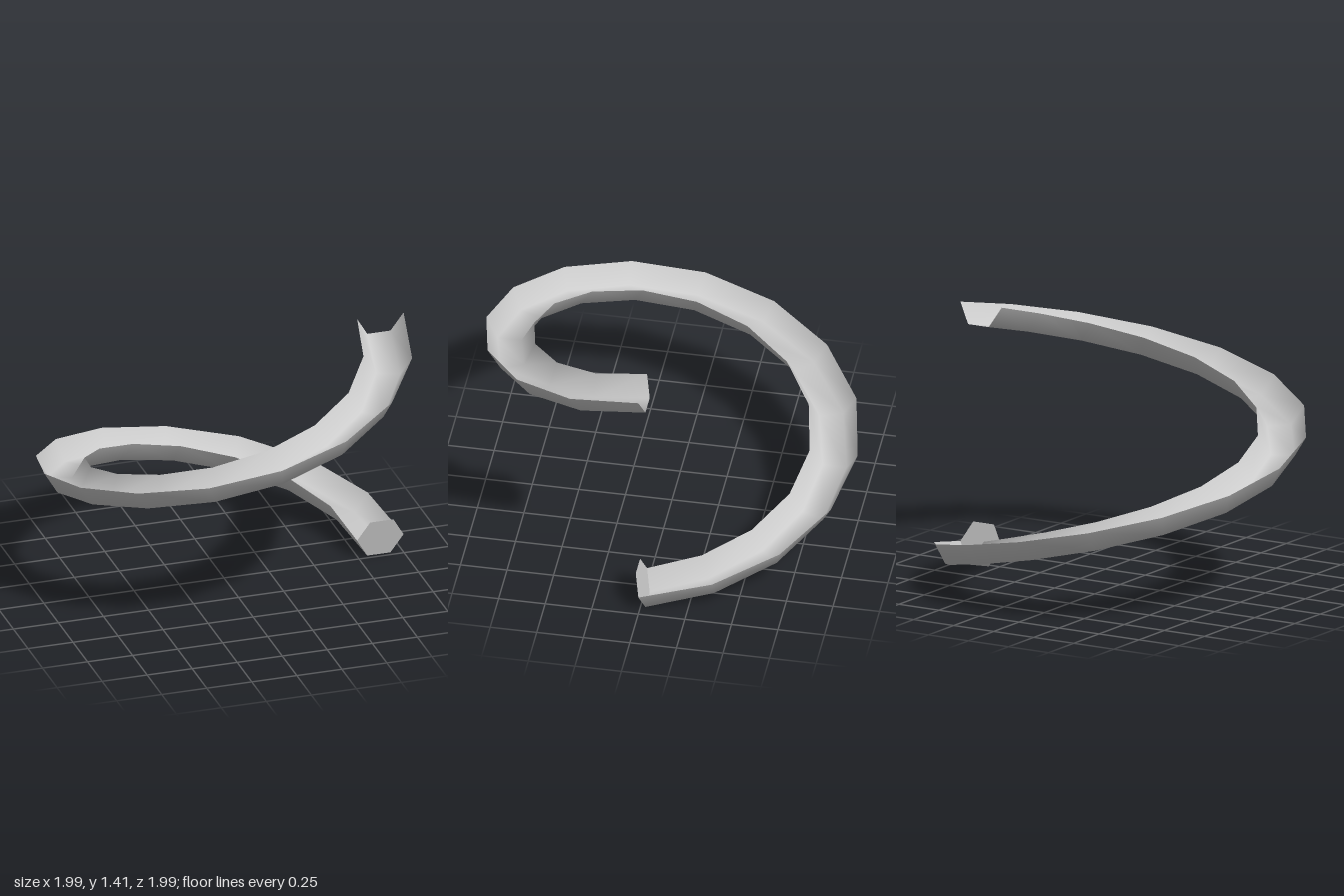
import * as THREE from 'three';

const R = 0.868;      // radius of the spiral centre line
const r = 0.129;      // radius of the hexagonal section
const RISE = 1.3;     // height gained in one turn
const BASE = 0.109;   // height of the centre line at the foot
const STEPS = 16;     // segments in the turn
const SLOPE = Math.atan(RISE / (2 * Math.PI * R));

const material = new THREE.MeshStandardMaterial({ color: 0xcccccc, side: THREE.DoubleSide });

// Point of the hexagonal section at spiral angle t and section angle a
function sectionPoint(t, a) {
  const out = new THREE.Vector3(Math.cos(t), 0, -Math.sin(t));
  const up = new THREE.Vector3(Math.sin(t) * Math.sin(SLOPE), Math.cos(SLOPE), Math.cos(t) * Math.sin(SLOPE));
  return out.clone().multiplyScalar(R + r * Math.cos(a))
    .addScaledVector(up, r * Math.sin(a))
    .add(new THREE.Vector3(0, BASE + RISE * t / (2 * Math.PI), 0));
}

// Open trough: the lower half of the hexagon swept up the spiral
function troughGeometry() {
  const positions = [], index = [];
  for (let i = 0; i <= STEPS; i++) {
    for (let j = 0; j <= 3; j++) {
      const p = sectionPoint(i / STEPS * Math.PI * 2, Math.PI + j * Math.PI / 3);
      positions.push(p.x, p.y, p.z);
      if (i < STEPS && j < 3) {
        const a = i * 4 + j, b = a + 4;
        index.push(a, a + 1, b, a + 1, b + 1, b);
      }
    }
  }
  const geometry = new THREE.BufferGeometry();
  geometry.setAttribute('position', new THREE.Float32BufferAttribute(positions, 3));
  geometry.setIndex(index);
  geometry.computeVertexNormals();
  return geometry;
}

export function createModel() {
  const group = new THREE.Group();
  group.name = 'spiralSlide';

  const trough = new THREE.Mesh(troughGeometry(), material);
  trough.name = 'trough';
  group.add(trough);

  // Full hexagonal plate closing the foot, square to the slope
  const endPlate = new THREE.Mesh(new THREE.CircleGeometry(r, 6), material);
  endPlate.name = 'endPlate';
  endPlate.position.set(R, BASE, 0);
  endPlate.rotation.x = SLOPE;
  group.add(endPlate);

  return group;
}
